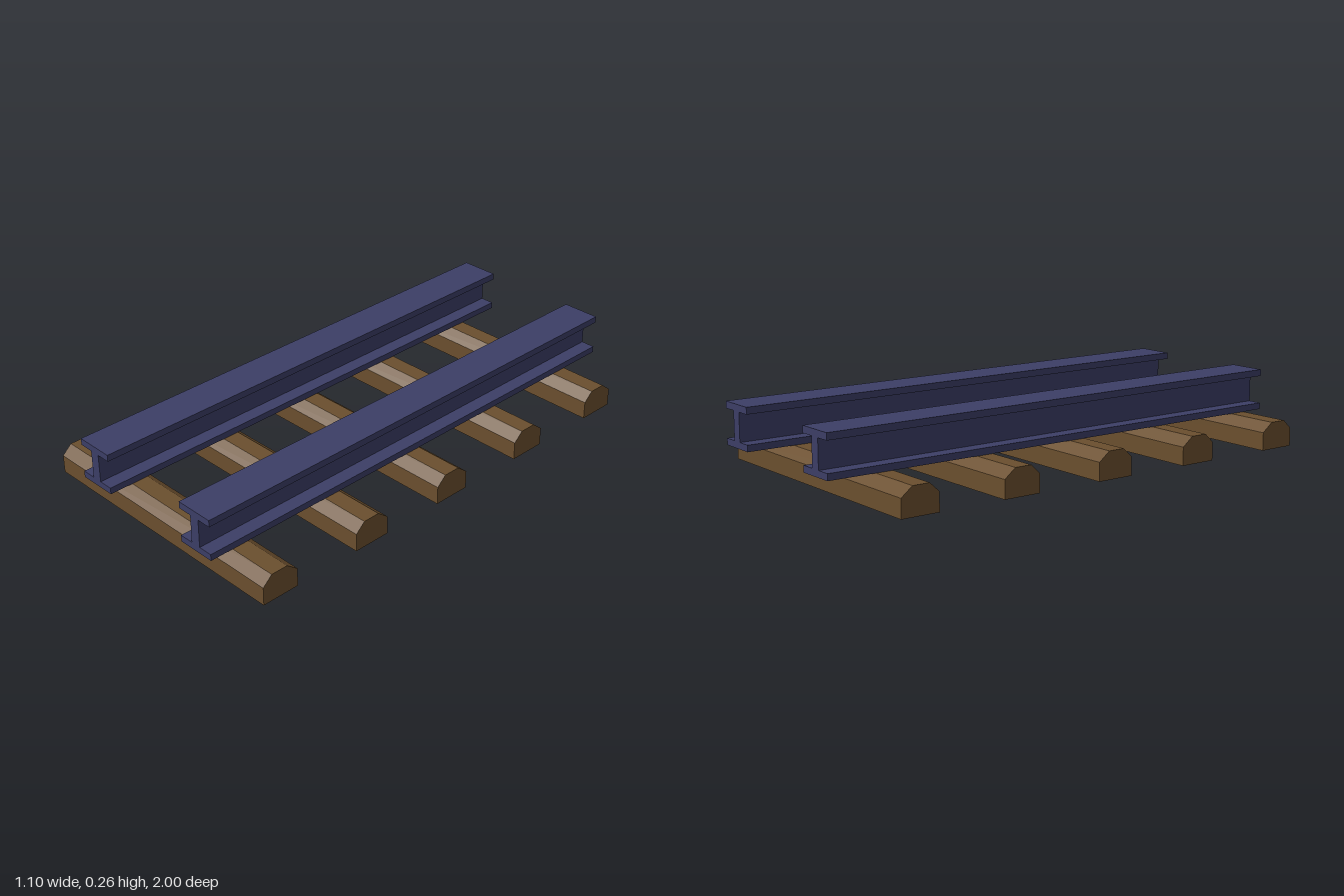
import * as THREE from 'three';

// Extrude a closed 2D outline, centred along its depth
function prism(points, length, material) {
  const shape = new THREE.Shape(points.map(([x, y]) => new THREE.Vector2(x, y)));
  const geometry = new THREE.ExtrudeGeometry(shape, { depth: length, bevelEnabled: false });
  geometry.translate(0, 0, -length / 2);
  return new THREE.Mesh(geometry, material);
}

export function createModel() {
  const track = new THREE.Group();
  track.name = 'railwayTrack';
  const steel = new THREE.MeshStandardMaterial({ color: 0x3c3e66, flatShading: true });
  const wood = new THREE.MeshStandardMaterial({ color: 0x6b4f2e, flatShading: true });

  // Two I-section rails running front to back
  const half = [
    [0.076, 0.105], [0.076, 0.13], [0.02, 0.13],
    [0.02, 0.239], [0.076, 0.239], [0.076, 0.265],
  ];
  const section = [...half, ...half.map(([x, y]) => [-x, y]).reverse()];
  [['leftRail', 0.281], ['rightRail', -0.258]].forEach(([name, x]) => {
    const rail = prism(section, 2, steel);
    rail.name = name;
    rail.position.x = x;
    track.add(rail);
  });

  // Five wooden sleepers with bevelled tops, lying across the track
  const sleeperSection = [
    [-0.075, 0], [0.075, 0], [0.075, 0.07],
    [0.03, 0.105], [-0.037, 0.105], [-0.075, 0.07],
  ];
  [-0.785, -0.37, 0.047, 0.45, 0.87].forEach((z, i) => {
    const sleeper = prism(sleeperSection, 1.098, wood);
    sleeper.name = `sleeper${i + 1}`;
    sleeper.rotation.y = Math.PI / 2;
    sleeper.position.z = z;
    track.add(sleeper);
  });

  return track;
}
